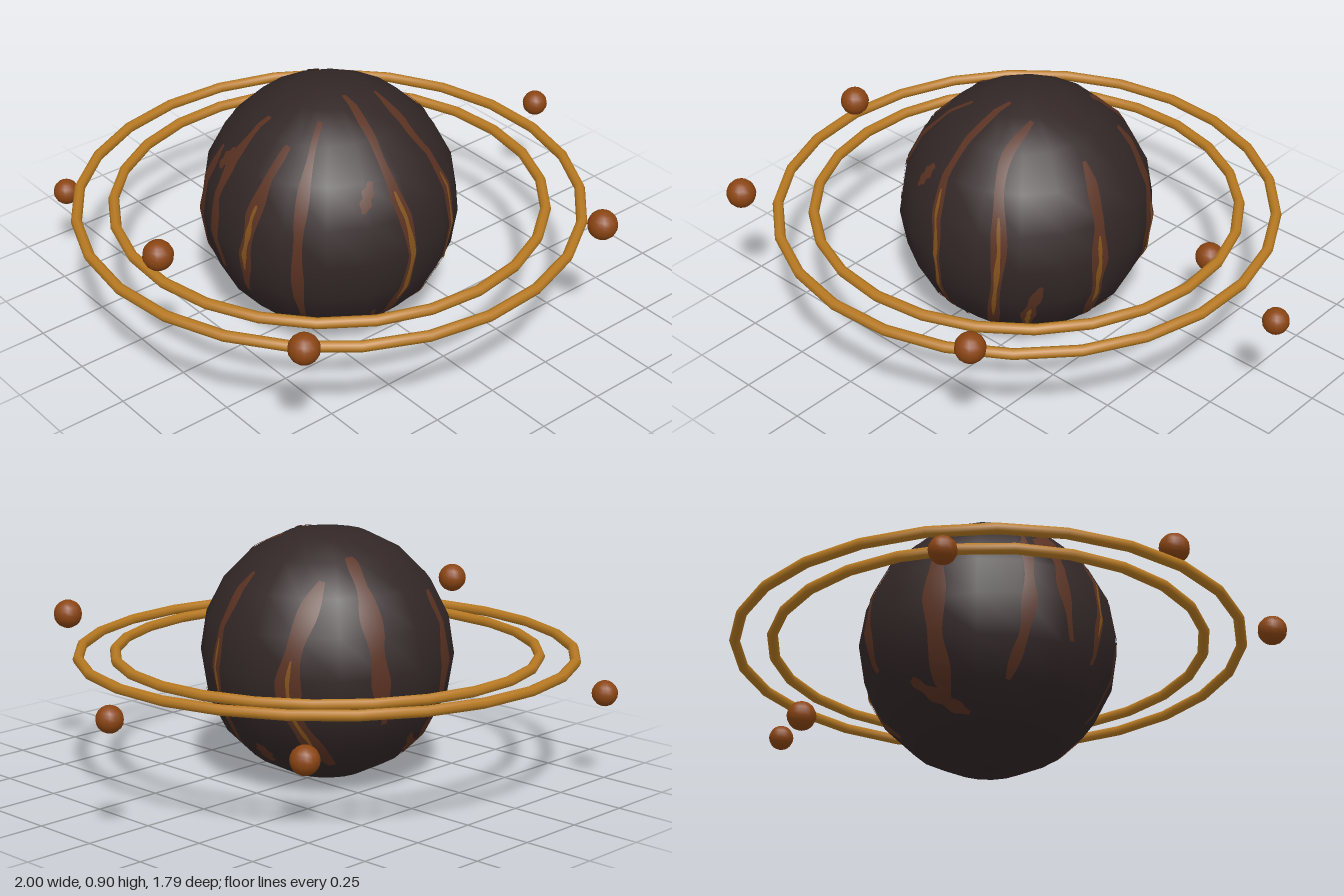
import * as THREE from 'three';

const R = 0.451, SEGS = 18, ROWS = 10;
const CX = -0.1, CY = 0.452;
const rad = THREE.MathUtils.degToRad;

const mat = (name, color, side = THREE.FrontSide) => {
  const m = new THREE.MeshStandardMaterial({ color, side });
  m.name = name;
  return m;
};

// unit direction; longitude runs from +z towards +x
const direction = (lat, lon) => new THREE.Vector3(
  Math.cos(rad(lat)) * Math.sin(rad(lon)), Math.sin(rad(lat)), Math.cos(rad(lat)) * Math.cos(rad(lon)));

// point where a direction meets the faceted planet, lifted slightly
function onPlanet(d, lift) {
  const step = (2 * Math.PI) / SEGS, k = Math.cos(step / 2);
  const lon = Math.atan2(d.x, d.z);
  const mid = (Math.floor(lon / step) + 0.5) * step;
  const h = Math.hypot(d.x, d.z) * Math.cos(lon - mid);
  const row = Math.min(ROWS - 1, Math.floor((Math.atan2(h / k, d.y) / Math.PI) * ROWS));
  const a = (row * Math.PI) / ROWS, b = ((row + 1) * Math.PI) / ROWS;
  const nh = Math.cos(a) - Math.cos(b), ny = k * (Math.sin(b) - Math.sin(a));
  const t = (R * (nh * k * Math.sin(a) + ny * Math.cos(a))) / (nh * h + ny * d.y);
  return d.clone().multiplyScalar(t + lift);
}

// tapering streak painted along part of a [lat, lon] path
function streak(points, halfWidth, lift, from = 0, to = 1) {
  const curve = new THREE.CatmullRomCurve3(points.map(([lat, lon]) => direction(lat, lon)));
  const N = 48, M = 4, pos = [], nor = [], idx = [];
  for (let i = 0; i <= N; i++) {
    const t = i / N, u = from + (to - from) * t;
    const c = curve.getPointAt(u).normalize();
    const side = curve.getTangentAt(u).cross(c).normalize();
    const taper = Math.sqrt(Math.sin(Math.PI * (0.04 + 0.92 * t)));
    const w = halfWidth * taper * (0.88 + 0.2 * Math.sin(t * 17 + points[0][1]));
    for (let j = 0; j <= M; j++) {
      const d = c.clone().addScaledVector(side, w * ((2 * j) / M - 1)).normalize();
      pos.push(...onPlanet(d, lift).toArray());
      nor.push(...d.toArray());
      if (i < N && j < M) {
        const a = i * (M + 1) + j, e = a + M + 1;
        idx.push(a, a + 1, e, a + 1, e + 1, e);
      }
    }
  }
  const g = new THREE.BufferGeometry();
  g.setAttribute('position', new THREE.Float32BufferAttribute(pos, 3));
  g.setAttribute('normal', new THREE.Float32BufferAttribute(nor, 3));
  g.setIndex(idx);
  return g;
}

export function createModel() {
  const rock = mat('dark rock', 0x332727);
  const rust = mat('rust streak', 0x5a3222, THREE.DoubleSide);
  const amber = mat('amber vein', 0x85541c, THREE.DoubleSide);
  const gold = mat('ring gold', 0xb87a22);
  const copper = mat('moon copper', 0x8b4513);

  const model = new THREE.Group();
  model.name = 'ringedPlanet';
  const add = (parent, name, geo, material) => {
    const m = new THREE.Mesh(geo, material);
    m.name = name;
    parent.add(m);
    return m;
  };

  // planet
  const planet = new THREE.Group();
  planet.name = 'planet';
  planet.position.set(CX, CY, 0);
  model.add(planet);
  add(planet, 'planetBody', new THREE.SphereGeometry(R, SEGS, ROWS).rotateY(Math.PI / 2), rock);

  // rust streaks with a thin amber vein: half width, then [lat, lon] points
  const veined = [
    [0.05, [80, 0], [36, -6], [0, -1], [-50, -11]],
    [0.06, [70, 50], [50, 28], [8, 30], [-52, 19]],
    [0.065, [46, 81], [0, 76], [-41, 77]],
    [0.1, [45, 131], [-7, 117], [-48, 138]],
    [0.06, [52, -68], [0, -78], [-22, -80]],
    [0.06, [-8, 49], [-22, 44], [-45, 41]],
  ];
  veined.forEach(([w, ...path], i) => {
    add(planet, `rustStreak${i + 1}`, streak(path, w, 0.004), rust);
    add(planet, `amberVein${i + 1}`, streak(path, 0.022, 0.007, 0.38, 0.82), amber);
  });

  // plain rust streaks
  const plain = [
    [0.05, [66, -48], [6, -53], [-42, -53]],
    [0.05, [37, -17], [24, -23]],
    [0.04, [-31, -16], [-50, -14], [-45, 2]],
    [0.08, [-36, 95], [-50, 92]],
    [0.085, [58, 152], [0, 158], [-22, 162]],
    [0.06, [40, -102], [28, -110]],
    [0.09, [34, 202], [-47, 200]],
    [0.06, [-32, 183], [-52, 212]],
    [0.06, [36, 244], [-10, 242], [-37, 235]],
    [0.06, [60, 260], [5, 260], [-16, 265]],
  ];
  plain.forEach(([w, ...path], i) => add(planet, `plainStreak${i + 1}`, streak(path, w, 0.004), rust));

  // two flat rings
  for (const [name, radius, turn] of [['outerRing', 0.88, 180], ['innerRing', 0.752, -2.5]]) {
    const ring = add(model, name, new THREE.TorusGeometry(radius, 0.019, 8, 25).rotateX(Math.PI / 2), gold);
    ring.rotation.y = rad(turn);
    ring.position.set(CX, CY + 0.003, 0);
  }

  // moons: x, y, z, radius
  const moons = [
    [-0.69, 0.33, -0.785, 0.046],
    [0.418, 0.242, -0.403, 0.052],
    [0.953, 0.42, -0.06, 0.046],
    [-0.88, 0.59, 0.087, 0.052],
    [-0.787, 0.538, 0.724, 0.052],
    [0.41, 0.538, 0.82, 0.052],
  ];
  moons.forEach(([x, y, z, r], i) => {
    add(model, `moon${i + 1}`, new THREE.SphereGeometry(r, 14, 10), copper).position.set(x, y, z);
  });

  return model;
}
